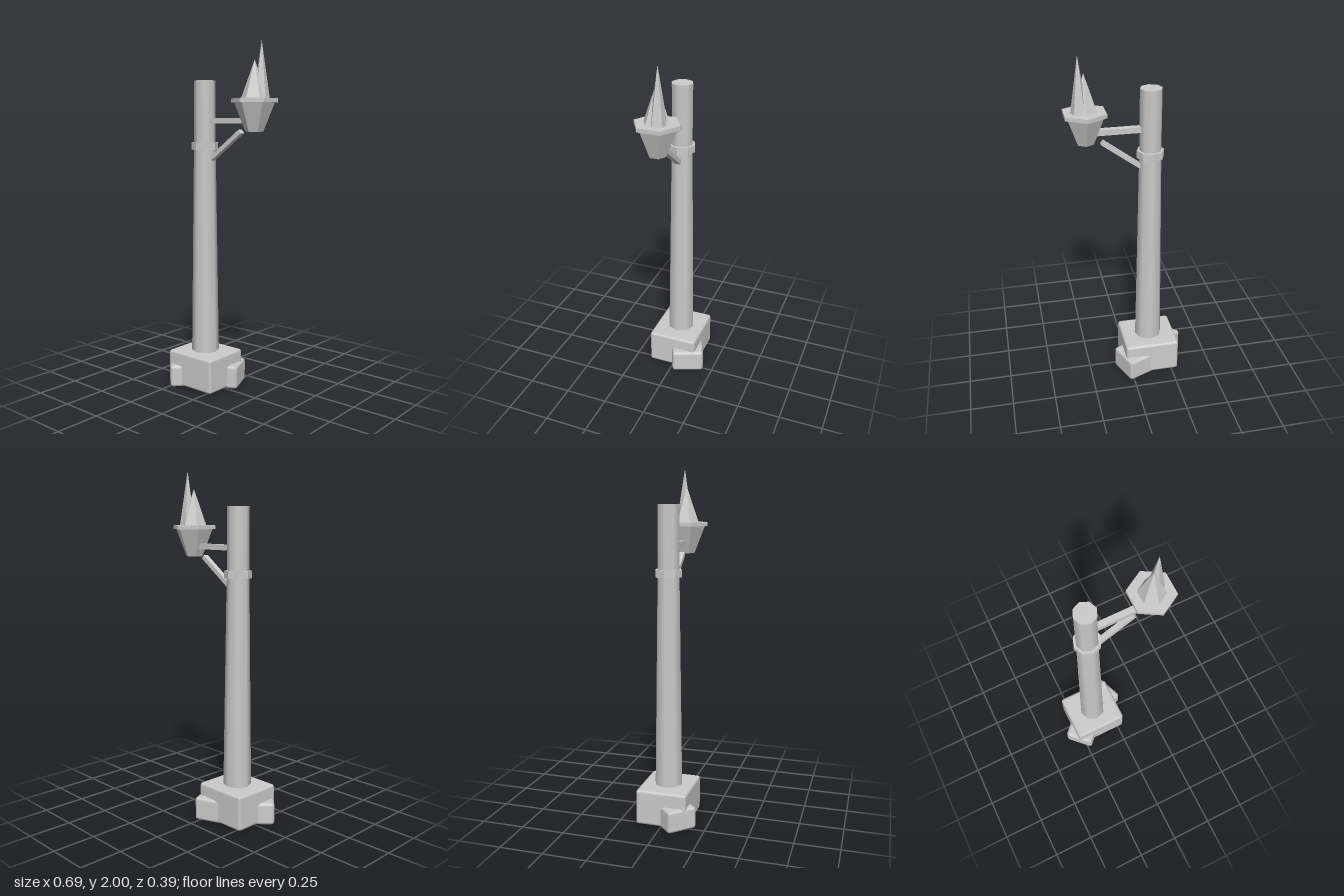
import * as THREE from 'three';
import { RoundedBoxGeometry } from 'three/addons/geometries/RoundedBoxGeometry.js';

const smooth = new THREE.MeshStandardMaterial({ color: 0xcccccc });
const flat = new THREE.MeshStandardMaterial({ color: 0xcccccc, flatShading: true });
const POST_X = -0.124, LAMP_X = 0.235, Z = 0.003;

export function createModel() {
  const model = new THREE.Group();
  model.name = 'streetLamp';

  function add(name, geometry, material, x, y, z) {
    const mesh = new THREE.Mesh(geometry, material);
    mesh.name = name;
    mesh.position.set(x, y, z);
    model.add(mesh);
    return mesh;
  }

  // Upright prism or cone between two heights
  function column(name, rTop, rBottom, y0, y1, sides, material, x, z = Z, turn = 0) {
    const geometry = new THREE.CylinderGeometry(rTop, rBottom, y1 - y0, sides, 1, false, turn);
    return add(name, geometry, material, x, (y0 + y1) / 2, z);
  }

  // Foundation block with two turned stones poking out of its corners
  function stone(name, w, h, d, bevel, x, z, turn, y0 = 0) {
    const mesh = add(name, new RoundedBoxGeometry(w, h, d, 1, bevel), smooth, x, y0 + h / 2, z);
    mesh.rotation.y = turn;
  }
  stone('baseBlock', 0.329, 0.205, 0.296, 0.016, POST_X, Z, 0, 0.006);
  stone('leftCornerStone', 0.18, 0.13, 0.2, 0.018, -0.222, 0.066, -Math.PI / 4);
  stone('rightCornerStone', 0.2, 0.138, 0.193, 0.018, -0.033, -0.074, 0.385);

  // Tapered post, straight above the collar
  column('lowerPost', 0.063, 0.081, 0.19, 1.43, 8, smooth, POST_X);
  column('upperPost', 0.062, 0.062, 1.43, 1.8, 8, smooth, POST_X);
  column('collar', 0.077, 0.077, 1.408, 1.45, 8, flat, POST_X);

  // Bracket: level arm and slanted brace
  add('arm', new THREE.BoxGeometry(0.29, 0.032, 0.035), flat, 0.075, 1.574, Z);
  const from = new THREE.Vector2(-0.068, 1.358), to = new THREE.Vector2(0.145, 1.515);
  const span = to.clone().sub(from), mid = from.clone().add(to).multiplyScalar(0.5);
  const brace = add('brace', new THREE.BoxGeometry(span.length(), 0.025, 0.032), flat, mid.x, mid.y, Z);
  brace.rotation.z = span.angle();

  // Hexagonal fire bowl with rim
  column('bowl', 0.112, 0.049, 1.515, 1.674, 6, flat, LAMP_X);
  column('bowlRim', 0.128, 0.128, 1.672, 1.694, 6, flat, LAMP_X);

  // Two faceted flames
  column('broadFlame', 0, 0.075, 1.69, 1.9, 6, flat, LAMP_X);
  column('tallFlame', 0, 0.048, 1.69, 2, 5, flat, 0.266, -0.017, THREE.MathUtils.degToRad(67));

  return model;
}
